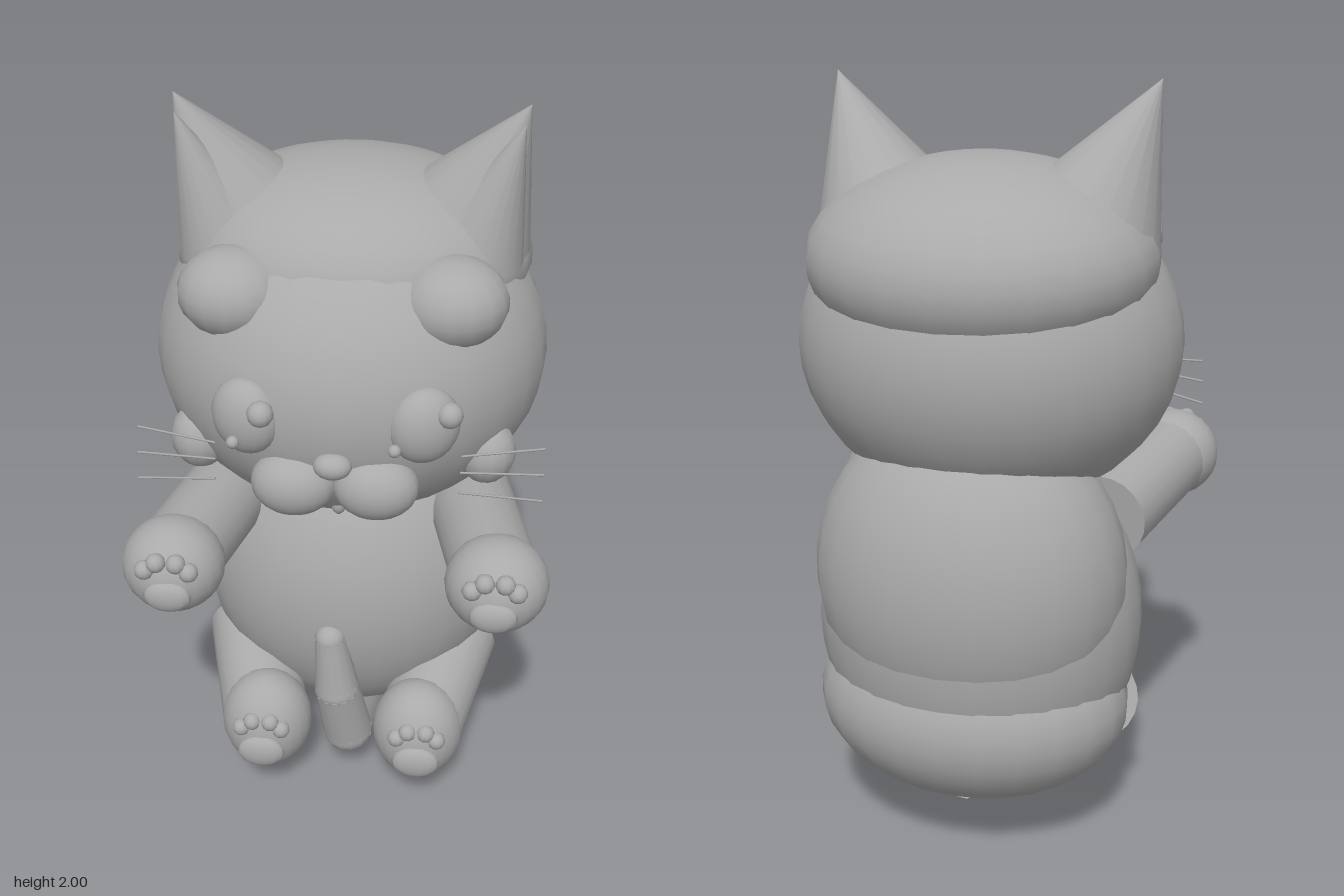
import * as THREE from 'three';

export function createModel() {
  const root = new THREE.Group();
  const grey = new THREE.MeshStandardMaterial({ color: 0xaaaaaa });
  grey.name = 'plain grey';
  const V = (p) => new THREE.Vector3(...p);

  const add = (name, geo, parent = root) => {
    const m = new THREE.Mesh(geo, grey);
    m.name = name;
    parent.add(m);
    return m;
  };

  // Ellipsoid with centre and radii
  const blob = (name, pos, radii, seg = 16, parent = root) => {
    const m = add(name, new THREE.SphereGeometry(1, seg, Math.round(seg * 0.7)), parent);
    m.position.set(...pos);
    m.scale.set(...radii);
    return m;
  };

  // Tapered cylinder running from a to b
  const limb = (name, a, b, ra, rb, seg = 20, parent = root) => {
    const from = V(a), to = V(b), dir = to.clone().sub(from);
    const m = add(name, new THREE.CylinderGeometry(rb, ra, dir.length(), seg), parent);
    m.position.copy(from).add(to).multiplyScalar(0.5);
    m.quaternion.setFromUnitVectors(new THREE.Vector3(0, 1, 0), dir.normalize());
    return m;
  };

  // Torso, back and rump
  blob('body', [0, 0.62, -0.14], [0.435, 0.5, 0.378], 28);
  blob('back', [0, 0.76, -0.22], [0.413, 0.45, 0.322], 24);
  blob('rump', [0, 0.4, -0.2], [0.42, 0.265, 0.325], 24);

  // Head with a cap of fur over the crown
  blob('head', [0, 1.34, -0.04], [0.5, 0.43, 0.465], 28);
  blob('crownFur', [0, 1.57, -0.115], [0.45, 0.25, 0.4], 24).rotation.x = -0.1;
  blob('nose', [0, 1.25, 0.42], [0.047, 0.034, 0.035]);
  blob('mouth', [0, 1.05, 0.285], [0.02, 0.03, 0.025], 10);

  // Cone that ends in a point at the tip
  const ear = (name, base, tip, r) => limb(name, base, tip, r, 0.0005, 20);

  // Rounded pad with four toe beans above it
  const paw = (name, x, y, z, s, padRadii) => {
    const g = new THREE.Group();
    g.name = name;
    g.position.set(x, y, z);
    root.add(g);
    blob('mainPad', [0, -0.02, -0.003], padRadii, 14, g);
    [[-0.055, 0.052], [-0.025, 0.075], [0.025, 0.075], [0.055, 0.052]].forEach(([tx, ty]) =>
      blob('toePad', [tx, ty, -0.01 - s], [0.025, 0.025, 0.025], 10, g));
  };

  for (const s of [1, -1]) {
    const side = s > 0 ? 'left' : 'right';
    const n = (part) => side + part;

    // Ears
    ear(n('Ear'), [s * 0.256, 1.635, -0.07], [s * 0.42, 2, 0], 0.205);
    ear(n('InnerEar'), [s * 0.305, 1.64, 0.005], [s * 0.41, 1.97, 0.05], 0.125);

    // Face
    blob(n('BrowPatch'), [s * 0.262, 1.585, 0.195], [0.135, 0.11, 0.125]);
    blob(n('Eye'), [s * 0.212, 1.345, 0.365], [0.088, 0.1, 0.06], 20).rotation.y = s * 0.35;
    blob(n('Pupil'), [s > 0 ? 0.272 : -0.167, 1.39, s > 0 ? 0.39 : 0.43], [0.032, 0.032, 0.032], 12);
    blob(n('EyeGlint'), [s > 0 ? 0.147 : -0.236, 1.305, 0.425], [0.016, 0.016, 0.016], 10);
    blob(n('Muzzle'), [s * 0.1, 1.17, 0.375], [0.105, 0.086, 0.078], 20);
    blob(n('Cheek'), [s * 0.36, 1.18, 0.205], [0.075, 0.085, 0.075], 14);
    [[1.222, 1.235, 0.27], [1.188, 1.172, 0.29], [1.14, 1.105, 0.305]].forEach(([y0, y1, z]) =>
      limb(n('Whisker'), [s * 0.3, y0, z + 0.035], [s * 0.503, y1, z], 0.003, 0.003, 6));

    // Arms held forward
    limb(n('Arm'), [s * 0.315, 0.882, -0.055], [s * 0.405, 0.92, 0.39], 0.115, 0.112);
    blob(n('Hand'), [s * 0.405, 0.922, 0.405], [0.13, 0.124, 0.122], 20);
    paw(n('HandPads'), s * 0.4, 0.922, 0.52, 0, [0.06, 0.045, 0.025]);

    // Legs stretched forward
    limb(n('Leg'), [s * 0.3, 0.36, -0.07], [s * 0.215, 0.265, 0.24], 0.122, 0.12);
    blob(n('Foot'), [s * 0.213, 0.262, 0.235], [0.126, 0.152, 0.115], 20);
    paw(n('FootPads'), s * 0.215, 0.252, 0.348, 0.008, [0.066, 0.052, 0.025]);
  }

  // Tail curling under the body and up in front
  const tail = [
    [0, 0.17, -0.27, 0.055], [0.02, 0.073, -0.075, 0.07],
    [0.01, 0.19, 0.18, 0.07], [-0.015, 0.38, 0.225, 0.062], [-0.032, 0.56, 0.23, 0.042],
  ];
  tail.forEach(([x, y, z, r], i) => {
    if (i > 0) blob('tailJoint', [x, y, z], [r, r, r], 14);
    const b = tail[i + 1];
    if (b) limb('tailSegment', [x, y, z], b.slice(0, 3), r, b[3], 14);
  });

  return root;
}
